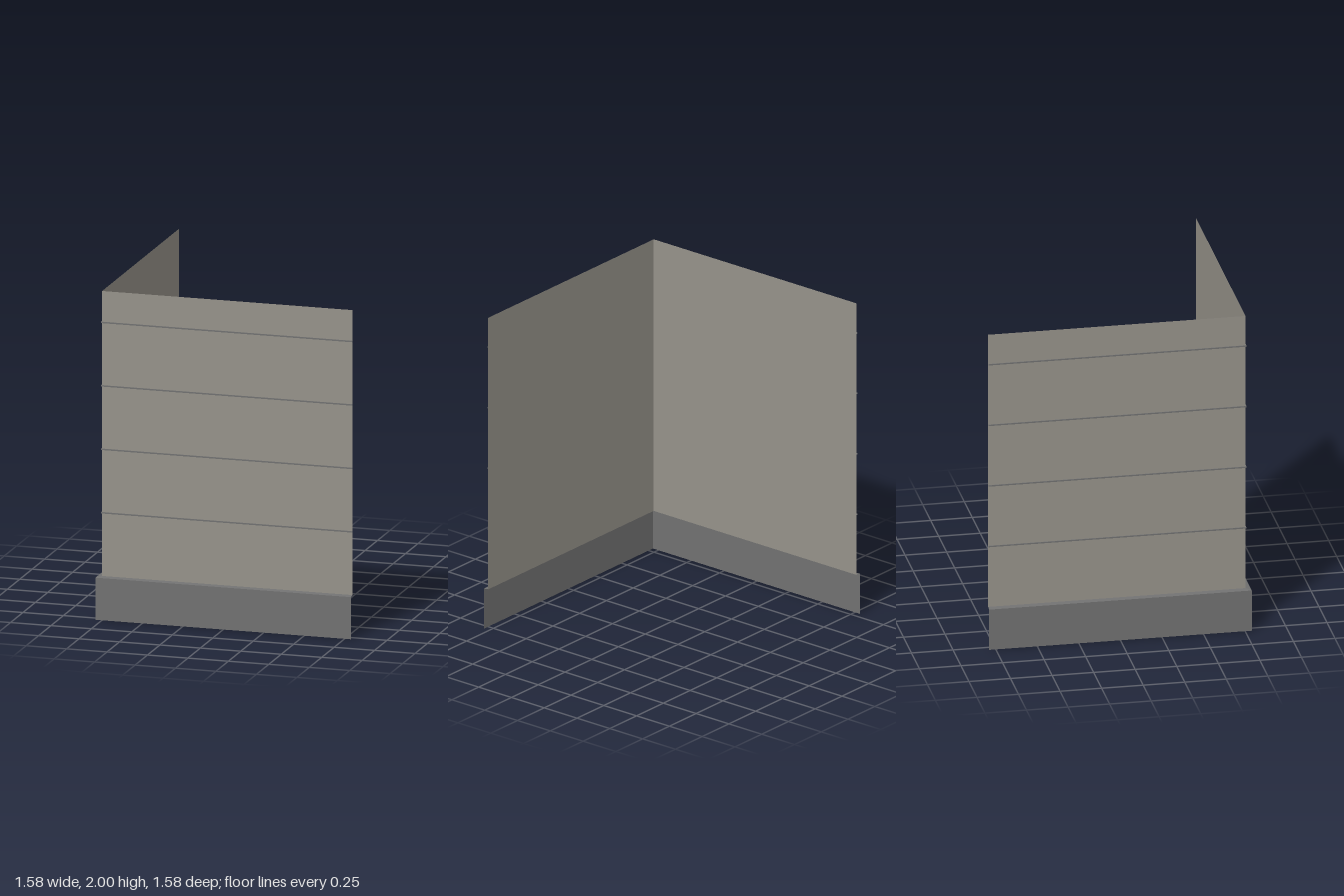
import * as THREE from 'three';

const END = 0.79;    // free ends of both walls
const WALL = 0.758;  // distance of each wall plane from the centre

// Sweeps a profile of [outward offset, height] points around the L-shaped corner.
function sweepCorner(profile) {
  const path = (d) => [[-WALL - d, -END], [-WALL - d, WALL + d], [END, WALL + d]];
  const pos = [];
  for (let i = 0; i < profile.length - 1; i++) {
    const [d0, y0] = profile[i], [d1, y1] = profile[i + 1];
    const low = path(d0).map(([x, z]) => [x, y0, z]);
    const high = path(d1).map(([x, z]) => [x, y1, z]);
    for (let j = 0; j < 2; j++) {
      pos.push(...low[j], ...low[j + 1], ...high[j + 1]);
      pos.push(...low[j], ...high[j + 1], ...high[j]);
    }
  }
  const geo = new THREE.BufferGeometry();
  geo.setAttribute('position', new THREE.Float32BufferAttribute(pos, 3));
  geo.computeVertexNormals();
  return geo;
}

export function createModel() {
  const model = new THREE.Group();
  model.name = 'cornerWall';

  const siding = new THREE.MeshStandardMaterial({ color: 0x96928a, side: THREE.DoubleSide });
  siding.name = 'warmGreySiding';
  const plinth = new THREE.MeshStandardMaterial({ color: 0x717171, side: THREE.DoubleSide });
  plinth.name = 'darkGreyPlinth';

  const add = (name, profile, material) => {
    const mesh = new THREE.Mesh(sweepCorner(profile), material);
    mesh.name = name;
    model.add(mesh);
  };

  // Two thin walls meeting at the front corner
  add('walls', [[0, 0.26], [0, 2]], siding);

  // Projecting base skirt with its narrow ledge
  add('baseSkirt', [[END - WALL, 0], [END - WALL, 0.257], [0, 0.262]], plinth);

  // Slim horizontal board seams on the outside
  for (let i = 0; i < 4; i++) {
    const y = 0.648 + i * 0.387;
    add(`boardSeam${i + 1}`, [[0, y - 0.004], [0.005, y - 0.004], [0.005, y + 0.004], [0, y + 0.004]], plinth);
  }

  return model;
}
